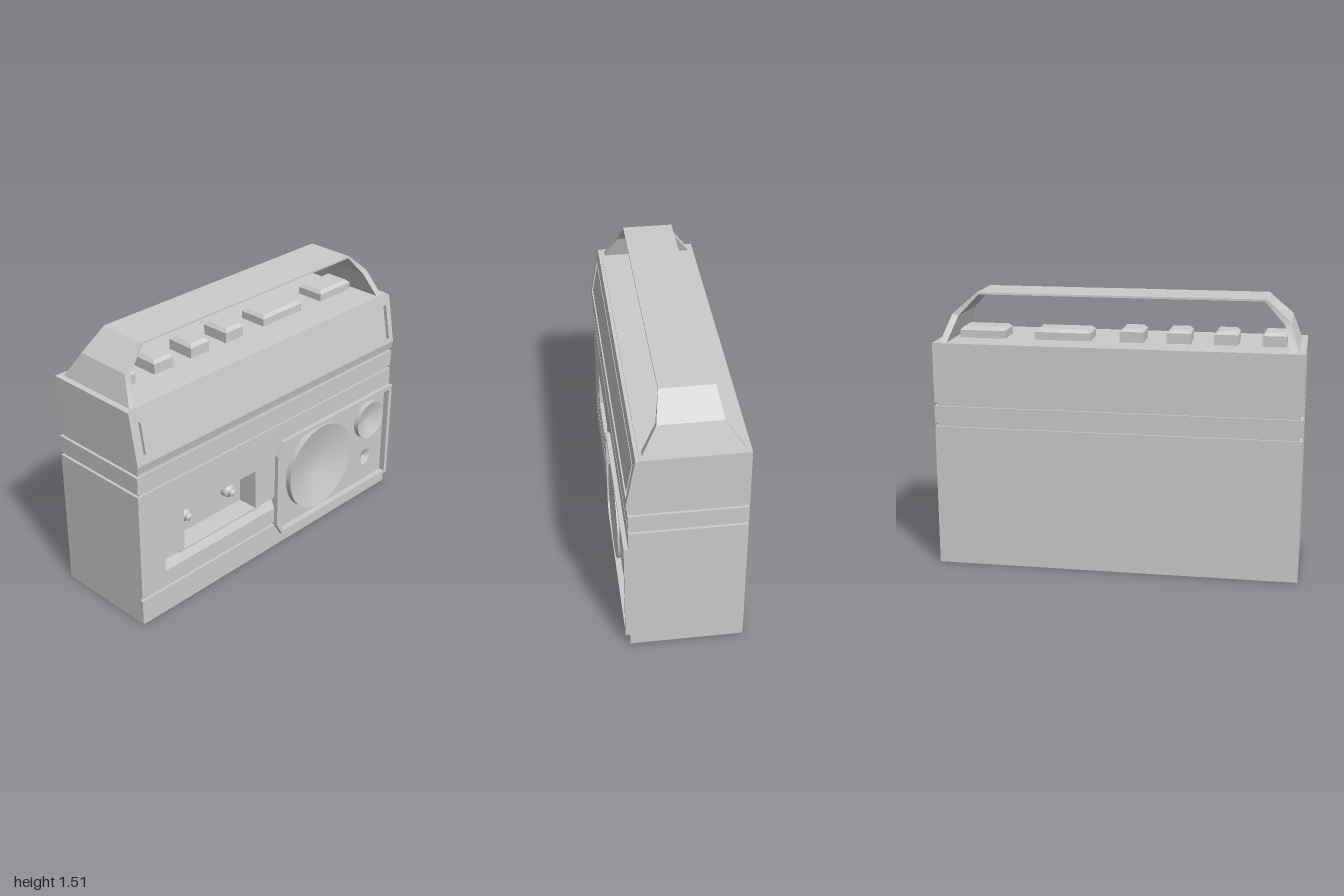
import * as THREE from 'three';
import { toCreasedNormals } from 'three/addons/utils/BufferGeometryUtils.js';

const BACK = -0.314, FRONT = 0.292, RECESS = 0.172;

export function createModel() {
  const root = new THREE.Group();
  const material = new THREE.MeshStandardMaterial({ color: 0xcccccc });

  function add(name, geometry, parent = root) {
    const mesh = new THREE.Mesh(toCreasedNormals(geometry, 0.4), material);
    mesh.name = name;
    parent.add(mesh);
    return mesh;
  }
  // Box given by its limits on each axis
  function block(name, x0, x1, y0, y1, z0, z1) {
    const g = new THREE.BoxGeometry(x1 - x0, y1 - y0, z1 - z0);
    return add(name, g.translate((x0 + x1) / 2, (y0 + y1) / 2, (z0 + z1) / 2));
  }
  const outline = (pts) => new THREE.Shape(pts.map(([x, y]) => new THREE.Vector2(x, y)));
  const rect = (x0, x1, y0, y1) => outline([[x0, y0], [x1, y0], [x1, y1], [x0, y1]]);
  const disc = (x, y, r) => new THREE.Shape().absarc(x, y, r, 0, Math.PI * 2);
  // Flat plate with holes between two depths
  function plate(shape, holes, z0, z1) {
    shape.holes.push(...holes);
    return new THREE.ExtrudeGeometry(shape, { depth: z1 - z0, bevelEnabled: false, curveSegments: 40 })
      .translate(0, 0, z0);
  }
  // Side profile of [z, y] points extruded along x
  function profileX(pts, x0, x1) {
    return new THREE.ExtrudeGeometry(outline(pts), { depth: x1 - x0, bevelEnabled: false })
      .rotateY(-Math.PI / 2).translate(x1, 0, 0);
  }
  // Turned part facing +z, from [radius, depth] points
  function turned(name, pts, x, y, z) {
    const g = new THREE.LatheGeometry(pts.map(([r, d]) => new THREE.Vector2(r, d)), 40);
    return add(name, g.rotateX(Math.PI / 2).translate(x, y, z));
  }

  // Main casing: solid rear, front plate with cut-outs
  block('rearCasing', -1, 1, 0, 0.79, BACK, RECESS);
  const panelInner = () => outline([[0.055, 0.09], [0.975, 0.09], [0.975, 0.66], [0.055, 0.66], [0.02, 0.595], [0.02, 0.155]]);
  const facade = outline([[-1, 0], [1, 0], [1, 0.79], [-1, 0.79], [-1, 0.168], [0, 0.168], [0, 0.147], [-1, 0.147]]);
  const cassetteHole = rect(-0.695, -0.155, 0.335, 0.575);
  const slopeHole = outline([[-0.835, 0.26], [0, 0.26], [0, 0.335], [-0.115, 0.335], [-0.115, 0.324],
    [-0.73, 0.324], [-0.73, 0.335], [-0.835, 0.335]]);
  add('frontCasing', plate(facade, [cassetteHole, slopeHole, panelInner()], RECESS, FRONT));
  block('frontGroove', -1, 0, 0.147, 0.168, RECESS, 0.277);
  add('slopedLedge', profileX([[RECESS, 0.26], [FRONT, 0.26], [0.258, 0.333], [RECESS, 0.333]], -0.835, 0));

  // Cassette spools
  for (const x of [-0.6, -0.27]) {
    turned('cassetteSpool', [[0.038, 0], [0.038, 0.03], [0.022, 0.045], [0.022, 0.06], [0.012, 0.07], [0, 0.07]], x, 0.46, RECESS);
  }

  // Speaker panel: raised rim, sunken plate and speaker cones
  const rim = outline([[0.045, 0.07], [1, 0.07], [1, 0.685], [0.045, 0.685], [0, 0.605], [0, 0.15]]);
  add('speakerPanelRim', plate(rim, [panelInner()], FRONT, 0.316));
  const speakers = [
    ['largeSpeaker', 0.37, 0.39, 0.262, 0.314, 0.07, 0.05],
    ['smallSpeaker', 0.82, 0.51, 0.117, 0.31, 0.025, 0.03],
    ['speakerPort', 0.82, 0.245, 0.05, 0.28, 0.008, 0.02],
  ];
  const holes = speakers.map(([, x, y, r]) => disc(x, y, r));
  add('speakerPlate', plate(panelInner(), holes, RECESS, 0.28));
  for (const [name, x, y, r, z, hub, depth] of speakers) {
    turned(name, [[r, -0.05], [r, 0], [hub, -depth], [0, -depth]], x, y, z);
  }

  // Middle band between two seams
  block('seamCore', -0.985, 0.985, 0.78, 0.935, BACK + 0.01, FRONT - 0.01);
  block('middleBand', -1, 1, 0.81, 0.905, BACK, FRONT);

  // Upper housing with tilted tuner face
  add('upperHousing', profileX([[BACK, 0.925], [FRONT, 0.925], [0.302, 0.97], [0.282, 0.966],
    [0.23, 1.255], [BACK, 1.255]], -1, 1));
  const tuner = new THREE.Group();
  tuner.name = 'tunerFace';
  tuner.position.set(0, 0.97, 0.302);
  tuner.rotation.x = -Math.atan2(0.052, 0.285);
  root.add(tuner);
  add('tunerFrame', plate(rect(-1, 1, 0, 0.2897), [rect(-0.965, 0.965, 0.026, 0.235)], -0.02, 0), tuner);
  add('tunerWindow', plate(rect(-0.935, 0.935, 0.045, 0.218), [], -0.02, -0.002), tuner);

  // Top keys with chamfered upper edges
  function key(x0, x1, top) {
    const w = x1 - x0, d = 0.165, h = top - 1.25, c = 0.018;
    const g = new THREE.BoxGeometry(w, h, d, 1, 2, 1);
    const p = g.attributes.position;
    for (let i = 0; i < p.count; i++) {
      const y = p.getY(i);
      if (y > h / 4) p.setXYZ(i, p.getX(i) * (1 - 2 * c / w), y, p.getZ(i) * (1 - 2 * c / d));
      else if (y > -h / 4) p.setY(i, h / 2 - c);
    }
    add('topKey', g.translate((x0 + x1) / 2, 1.25 + h / 2, -0.045));
  }
  for (let i = 0; i < 4; i++) key(-0.895 + i * 0.256, -0.765 + i * 0.256, 1.33);
  key(0.165, 0.473, 1.315);
  key(0.64, 0.895, 1.315);

  // Carrying handle: [outer x, outer y, inner x, inner y, front z, back z]
  const half = [
    [0.967, 1.25, 0.928, 1.25, 0.218, -0.288],
    [0.918, 1.397, 0.885, 1.385, 0.14, -0.19],
    [0.785, 1.513, 0.775, 1.502, 0.115, -0.165],
  ];
  const stations = [
    ...half.map(([ox, oy, ix, iy, f, b]) => [-ox, oy, -ix, iy, f, b]),
    ...half.slice().reverse(),
  ];
  const rings = stations.map(([ox, oy, ix, iy, f, b]) => [[ox, oy, f], [ox, oy, b], [ix, iy, b], [ix, iy, f]]);
  const verts = [];
  for (let s = 0; s < rings.length - 1; s++) {
    for (let k = 0; k < 4; k++) {
      const n = (k + 1) % 4;
      const a = rings[s][k], b = rings[s + 1][k], c = rings[s + 1][n], d = rings[s][n];
      verts.push(...a, ...b, ...c, ...a, ...c, ...d);
    }
  }
  const handle = new THREE.BufferGeometry();
  handle.setAttribute('position', new THREE.Float32BufferAttribute(verts, 3));
  handle.computeVertexNormals();
  add('carryHandle', handle);

  return root;
}
